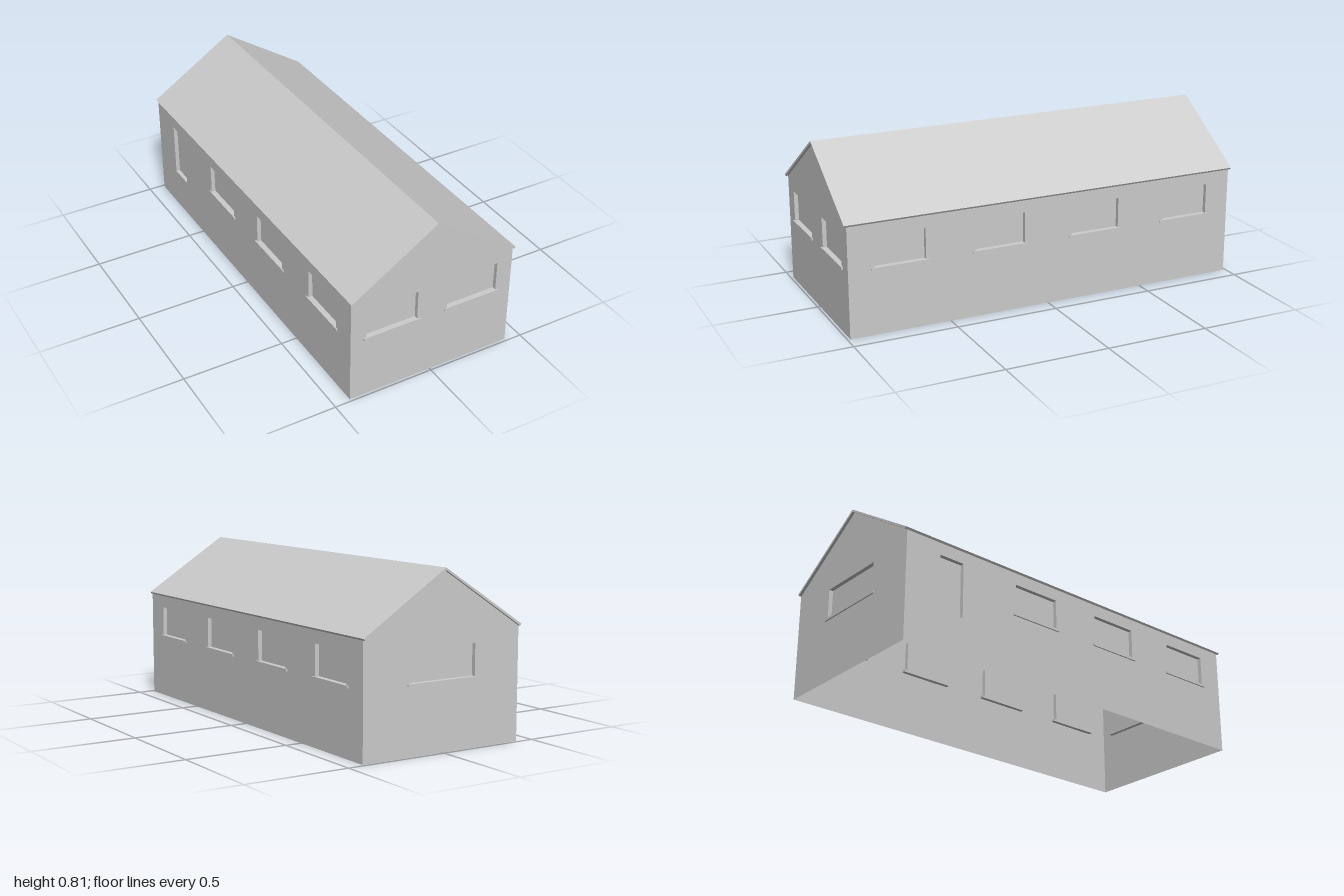
import * as THREE from 'three';

const HALF_W = 0.42, HALF_L = 0.987, EAVE = 0.527, APEX = 0.798;
const RECESS = 0.02;
const mat = new THREE.MeshStandardMaterial({ color: 0xcccccc, flatShading: true, side: THREE.DoubleSide });

function part(name, geometry) {
  const mesh = new THREE.Mesh(geometry, mat);
  mesh.name = name;
  return mesh;
}

function polygon(points) {
  return new THREE.Shape(points.map(([x, y]) => new THREE.Vector2(x, y)));
}

// Window niche: a box open to the outside, its faces turned inwards
function nicheGeometry(w, h) {
  const box = new THREE.BoxGeometry(w, h, RECESS);
  const index = Array.from(box.index.array);
  index.splice(24, 6); // drop the outer face
  box.setIndex(index.reverse());
  box.clearGroups();
  const geo = box.toNonIndexed();
  geo.computeVertexNormals();
  return geo;
}

// Wall in its own frame: x along the wall, y up, z outwards
function wall(name, outline, windows) {
  const group = new THREE.Group();
  group.name = name;
  const shape = polygon(outline);
  for (const { x, w, y0 = 0.32, y1 = 0.468, sill = true } of windows) {
    const l = x - w / 2, r = x + w / 2;
    shape.holes.push(polygon([[l, y0], [l, y1], [r, y1], [r, y0]]));

    const niche = part('windowNiche', nicheGeometry(w, y1 - y0));
    niche.position.set(x, (y0 + y1) / 2, -RECESS / 2);
    group.add(niche);

    if (sill) {
      const ledge = part('windowSill', new THREE.BoxGeometry(w + 0.029, 0.012, RECESS + 0.007));
      ledge.position.set(x, y0 - 0.005, 0.007 - (RECESS + 0.007) / 2);
      group.add(ledge);
    }
  }
  group.add(part('wallPanel', new THREE.ShapeGeometry(shape)));
  return group;
}

export function createModel() {
  const house = new THREE.Group();
  house.name = 'house';

  const gable = [[-HALF_W, 0], [HALF_W, 0], [HALF_W, EAVE], [0, APEX], [-HALF_W, EAVE]];
  const side = [[-HALF_L, 0], [HALF_L, 0], [HALF_L, EAVE], [-HALF_L, EAVE]];

  // Gable walls
  const front = wall('frontWall', gable, [{ x: -0.21, w: 0.262 }, { x: 0.21, w: 0.262 }]);
  front.position.z = HALF_L;
  const back = wall('backWall', gable, [{ x: 0, w: 0.35 }]);
  back.position.z = -HALF_L;
  back.rotation.y = Math.PI;

  // Long walls: four windows each, one of them narrow and tall
  const bays = [-0.74, -0.247, 0.247, 0.74].map((x) => ({ x, w: 0.246 }));
  const left = wall('leftWall', side, bays);
  left.position.x = HALF_W;
  left.rotation.y = Math.PI / 2;
  const narrow = { x: -0.74, w: 0.13, y0: 0.2, y1: 0.468, sill: false };
  const right = wall('rightWall', side, [narrow, ...bays.slice(1)]);
  right.position.x = -HALF_W;
  right.rotation.y = -Math.PI / 2;

  // Thin pitched roof
  const roofShape = polygon([
    [0, 0.81], [-0.426, 0.536], [-0.42, EAVE], [0, APEX], [0.42, EAVE], [0.426, 0.536],
  ]);
  const roof = part('roof', new THREE.ExtrudeGeometry(roofShape, { depth: 2, bevelEnabled: false }));
  roof.position.z = -1;

  house.add(front, back, left, right, roof);
  return house;
}
